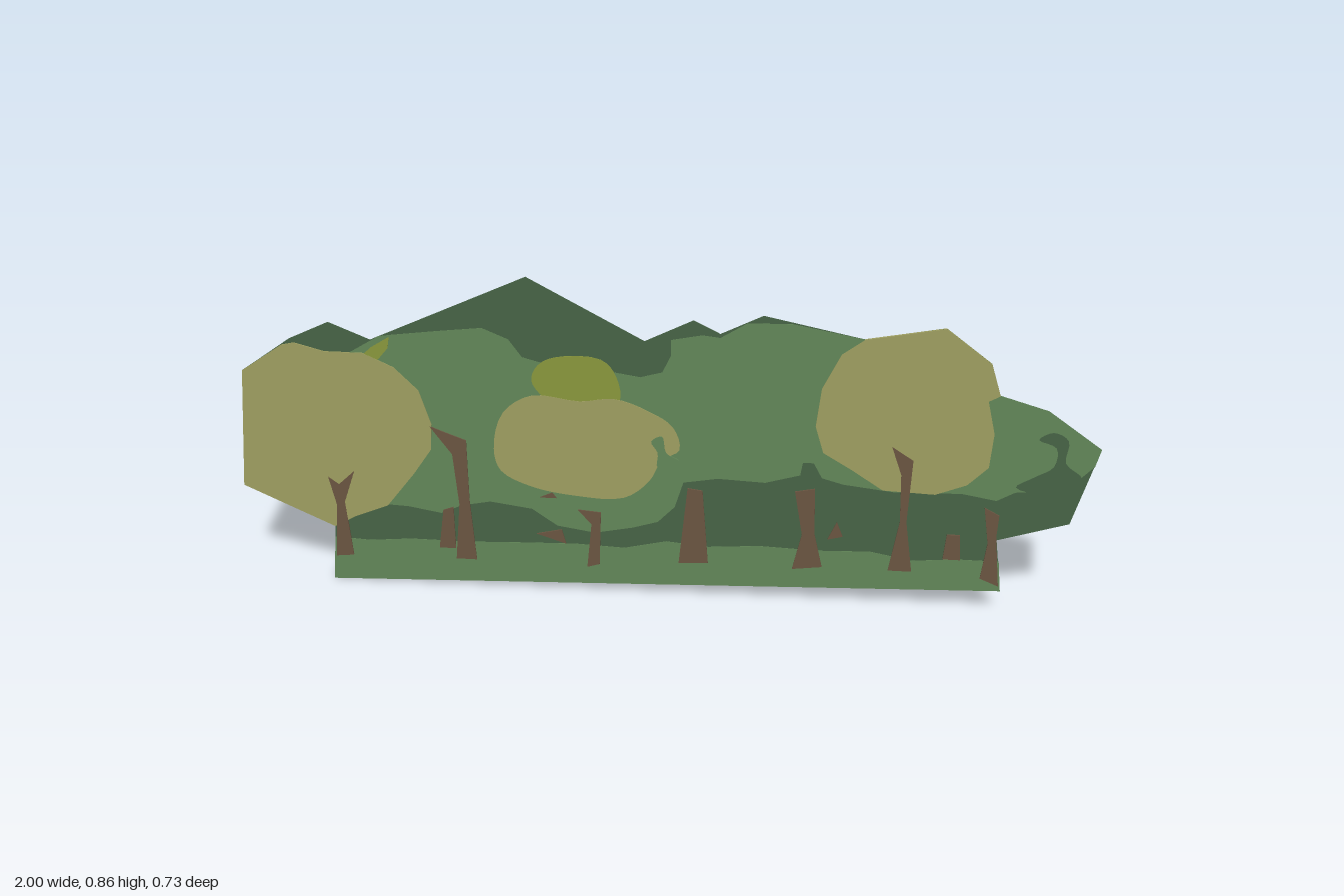
import * as THREE from 'three';

const mat = (name, color) => Object.assign(new THREE.MeshStandardMaterial({ color }), { name });

export function createModel() {
  const darkGreen = mat('dark green', 0x466345);
  const leafGreen = mat('leaf green', 0x628658);
  const olive = mat('olive', 0x9e9e60);
  const yellowGreen = mat('yellow green', 0x88963c);
  const bark = mat('bark', 0x6a5541);

  // The whole backdrop is an upright card turned about y
  const slope = 0.363;
  const stretch = Math.hypot(1, slope);
  const card = new THREE.Group();
  card.name = 'forestBackdrop';
  card.rotation.y = -Math.atan(slope);

  // A flat piece centred on the card; higher layers are thicker, so they show on both sides
  function piece(name, material, layer, points, smooth = false) {
    let pts = points.map(([x, y]) => new THREE.Vector2(x * stretch, y));
    if (smooth) {
      const loop = pts.map(p => new THREE.Vector3(p.x, p.y, 0));
      pts = new THREE.CatmullRomCurve3(loop, true).getPoints(points.length * 4)
        .slice(0, -1).map(p => new THREE.Vector2(p.x, p.y));
    }
    const depth = 0.001 + layer * 0.0018;
    const geo = new THREE.ExtrudeGeometry(new THREE.Shape(pts), { depth, bevelEnabled: false });
    geo.translate(0, 0, -depth / 2);
    const mesh = new THREE.Mesh(geo, material);
    mesh.name = name;
    card.add(mesh);
  }

  // Silhouette: distant hills and shaded undergrowth
  piece('shadedForest', darkGreen, 0, [
    [-0.8, 0], [0.81, 0.065], [0.79, 0.21], [0.95, 0.265], [1, 0.47], [0.875, 0.565],
    [0.765, 0.6], [0.74, 0.68], [0.635, 0.765], [0.46, 0.73], [0.235, 0.78], [0.14, 0.73],
    [0.08, 0.762], [-0.03, 0.704], [-0.295, 0.856], [-0.66, 0.68], [-0.755, 0.722],
    [-0.85, 0.675], [-0.97, 0.585], [-1, 0.265], [-0.785, 0.155]]);

  // Grass strip
  piece('grass', leafGreen, 1, [
    [-0.8, 0], [0.81, 0.065], [0.8, 0.15], [0.7, 0.15], [0.6, 0.14], [0.5, 0.16], [0.38, 0.155],
    [0.24, 0.16], [0.12, 0.15], [0.02, 0.16], [-0.08, 0.135], [-0.2, 0.14], [-0.34, 0.135],
    [-0.45, 0.13], [-0.6, 0.13], [-0.7, 0.12], [-0.788, 0.125]]);

  // Main canopy
  piece('canopy', leafGreen, 1, [
    [-0.8, 0.62], [-0.71, 0.645], [-0.64, 0.69], [-0.61, 0.695], [-0.5, 0.71], [-0.4, 0.722],
    [-0.34, 0.695], [-0.31, 0.65], [-0.24, 0.63], [-0.1, 0.62], [-0.04, 0.61], [0.01, 0.625],
    [0.03, 0.67], [0.03, 0.71], [0.1, 0.725], [0.14, 0.72], [0.2, 0.76], [0.3, 0.762], [0.46, 0.73],
    [0.6, 0.74], [0.74, 0.66], [0.765, 0.6], [0.875, 0.565], [1, 0.47], [0.99, 0.425],
    [0.96, 0.39], [0.9, 0.355], [0.82, 0.345], [0.78, 0.32], [0.7, 0.335], [0.55, 0.33],
    [0.43, 0.345], [0.38, 0.36], [0.36, 0.4], [0.335, 0.4], [0.33, 0.365], [0.25, 0.34],
    [0.14, 0.345], [0.06, 0.33], [0.04, 0.26], [0, 0.215], [-0.06, 0.195], [-0.15, 0.175],
    [-0.24, 0.19], [-0.3, 0.235], [-0.4, 0.25], [-0.47, 0.235], [-0.52, 0.21], [-0.6, 0.225],
    [-0.7, 0.23]]);

  // Dark curl in the right-hand crown
  piece('leafShadow', darkGreen, 2, [
    [0.86, 0.49], [0.89, 0.51], [0.925, 0.49], [0.925, 0.43], [0.965, 0.39], [0.9, 0.345],
    [0.82, 0.36], [0.86, 0.39], [0.9, 0.42], [0.9, 0.47]], true);

  // Yellow-green tops
  piece('yellowTop', yellowGreen, 2, [
    [-0.29, 0.59], [-0.275, 0.63], [-0.235, 0.653], [-0.13, 0.652], [-0.095, 0.61],
    [-0.09, 0.54], [-0.18, 0.52], [-0.26, 0.545]], true);
  piece('yellowTip', yellowGreen, 2, [[-0.7, 0.62], [-0.66, 0.66], [-0.615, 0.69], [-0.62, 0.66], [-0.66, 0.61]]);

  // Olive crowns
  piece('leftCrown', olive, 3, [
    [-0.785, 0.157], [-0.73, 0.19], [-0.65, 0.225], [-0.58, 0.32], [-0.535, 0.39], [-0.53, 0.46],
    [-0.555, 0.55], [-0.61, 0.61], [-0.68, 0.645], [-0.77, 0.645], [-0.84, 0.665], [-0.87, 0.658],
    [-0.97, 0.585], [-1, 0.265]]);
  piece('middleCrown', olive, 3, [
    [-0.385, 0.4], [-0.36, 0.5], [-0.29, 0.55], [-0.18, 0.54], [-0.1, 0.55], [-0.02, 0.52],
    [0.035, 0.48], [0.05, 0.42], [0.01, 0.39], [-0.02, 0.33], [-0.08, 0.28], [-0.2, 0.28],
    [-0.3, 0.3], [-0.37, 0.34]], true);
  piece('rightCrown', olive, 3, [
    [0.36, 0.5], [0.37, 0.6], [0.41, 0.69], [0.46, 0.73], [0.635, 0.765], [0.74, 0.68],
    [0.765, 0.6], [0.74, 0.585], [0.76, 0.5], [0.755, 0.41], [0.71, 0.36], [0.64, 0.33],
    [0.52, 0.335], [0.45, 0.385], [0.38, 0.43]]);
  piece('crownNotch', leafGreen, 4, [
    [-0.015, 0.44], [0.01, 0.455], [0.02, 0.41], [0.05, 0.39], [0, 0.37], [0, 0.41]], true);

  // Trunks and twigs
  const trunks = [
    [[-0.788, 0.07], [-0.745, 0.075], [-0.755, 0.23], [-0.725, 0.32], [-0.765, 0.28], [-0.79, 0.3], [-0.775, 0.22]],
    [[-0.49, 0.08], [-0.44, 0.08], [-0.45, 0.25], [-0.45, 0.42], [-0.5, 0.44], [-0.535, 0.455], [-0.485, 0.38], [-0.475, 0.24]],
    [[-0.53, 0.11], [-0.49, 0.11], [-0.49, 0.23], [-0.515, 0.22]],
    [[-0.17, 0.075], [-0.14, 0.085], [-0.135, 0.235], [-0.19, 0.24], [-0.158, 0.2]],
    [[0.05, 0.1], [0.12, 0.105], [0.105, 0.31], [0.07, 0.315]],
    [[0.32, 0.1], [0.39, 0.11], [0.37, 0.2], [0.365, 0.33], [0.32, 0.32], [0.34, 0.2]],
    [[0.545, 0.11], [0.6, 0.11], [0.58, 0.25], [0.585, 0.42], [0.535, 0.455], [0.56, 0.38], [0.565, 0.25]],
    [[0.76, 0.1], [0.804, 0.08], [0.788, 0.22], [0.79, 0.28], [0.755, 0.3], [0.77, 0.2]],
    [[0.67, 0.15], [0.71, 0.15], [0.705, 0.22], [0.675, 0.22]],
    [[0.4, 0.19], [0.435, 0.2], [0.42, 0.24]],
    [[-0.29, 0.165], [-0.22, 0.14], [-0.23, 0.18]],
    [[-0.28, 0.27], [-0.24, 0.27], [-0.25, 0.285]],
  ];
  trunks.forEach((points, i) => piece(i === 2 || i > 7 ? 'twig' : 'trunk', bark, 4, points));

  const model = new THREE.Group();
  model.add(card);
  return model;
}
